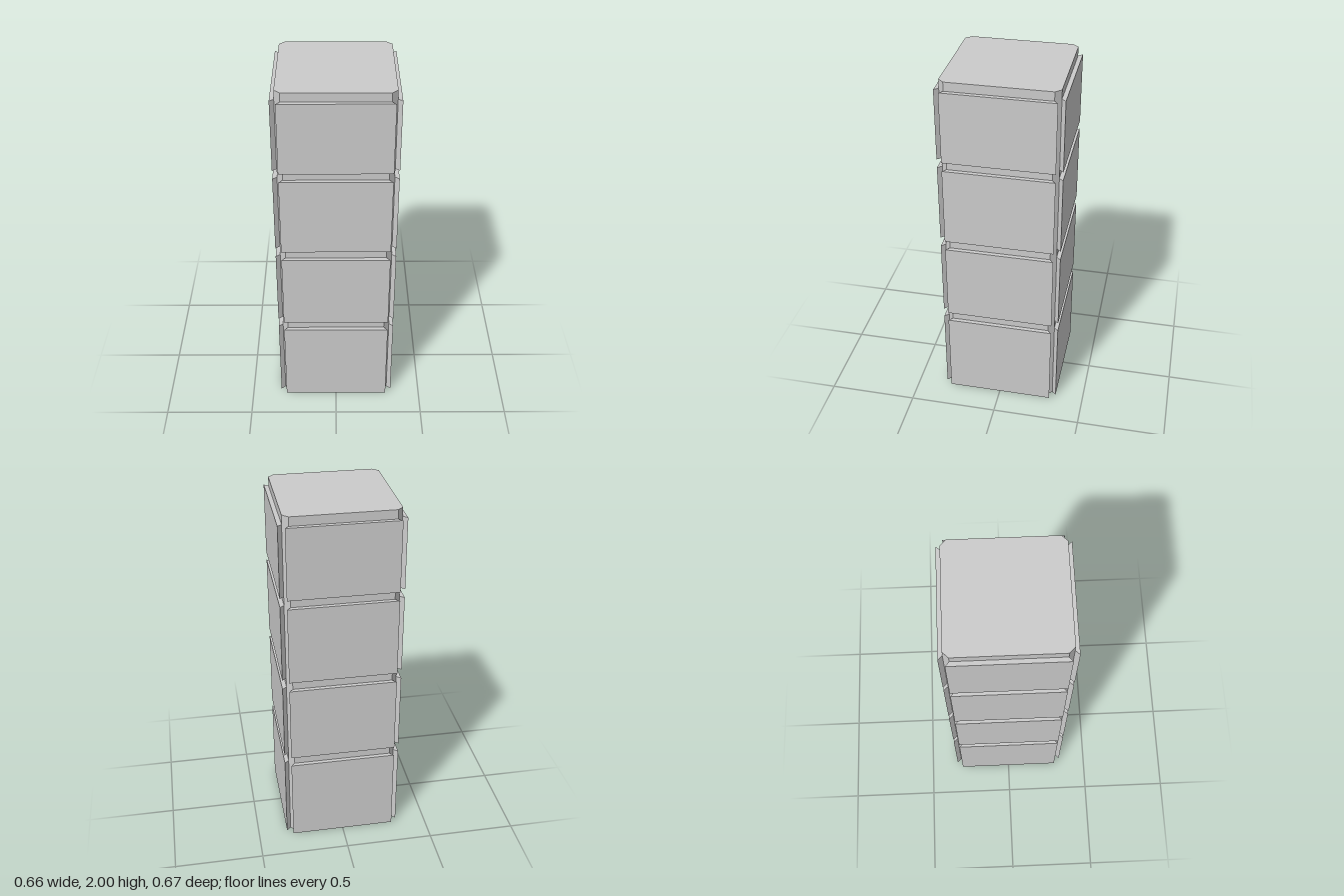
import * as THREE from 'three';

const material = new THREE.MeshStandardMaterial({
  color: 0xcccccc, flatShading: true, side: THREE.DoubleSide,
});

// One corner in plan (x, z): side panel end, chamfered post, front panel end
const panelCorner = [[0.332, 0.303], [0.308, 0.282], [0.277, 0.3135], [0.299, 0.337]];
const coreCorner = [panelCorner[1], panelCorner[1], panelCorner[2], panelCorner[2]];

// Mirror a corner into all four quadrants, in order round the column
function outline(corner) {
  return [[1, 1], [-1, 1], [-1, -1], [1, -1]].flatMap(([sx, sz]) => {
    const pts = corner.map(([x, z]) => [x * sx, z * sz]);
    return sx * sz > 0 ? pts : pts.reverse();
  });
}
const PANEL = outline(panelCorner);
const CORE = outline(coreCorner);

// Join a stack of [outline, height] rings with flat faces
function loft(name, rings) {
  const positions = [];
  const triangle = (a, b, c) => {
    const area = new THREE.Triangle(a, b, c).getArea();
    if (area > 1e-8) for (const p of [a, b, c]) positions.push(p.x, p.y, p.z);
  };
  const point = ([pts, y], i) => {
    const [x, z] = pts[i % pts.length];
    return new THREE.Vector3(x, y, z);
  };
  for (let r = 0; r < rings.length - 1; r++) {
    for (let i = 0; i < CORE.length; i++) {
      const a = point(rings[r], i), b = point(rings[r + 1], i);
      const c = point(rings[r + 1], i + 1), d = point(rings[r], i + 1);
      triangle(a, b, c);
      triangle(a, c, d);
    }
  }
  const geometry = new THREE.BufferGeometry();
  geometry.setAttribute('position', new THREE.Float32BufferAttribute(positions, 3));
  geometry.computeVertexNormals();
  const mesh = new THREE.Mesh(geometry, material);
  mesh.name = name;
  return mesh;
}

export function createModel() {
  const column = new THREE.Group();
  column.name = 'panelledColumn';

  // Four tiers: raised panels with ledges, then a recessed neck
  const tiers = [[0, 0.5, 0.555], [0.555, 1, 1.055], [1.055, 1.5, 1.55], [1.55, 1.95, 2]];
  tiers.forEach(([bottom, top, next], i) => {
    const tier = new THREE.Group();
    tier.name = `tier${i + 1}`;
    const rings = [[PANEL, bottom], [PANEL, top], [CORE, top]];
    if (i > 0) rings.unshift([CORE, bottom]); // the foot stays open
    tier.add(loft('panelBand', rings), loft('recessedNeck', [[CORE, top], [CORE, next]]));
    column.add(tier);
  });

  // Chamfered top
  const shape = new THREE.Shape(
    CORE.filter((_, i) => i % 2 === 0).map(([x, z]) => new THREE.Vector2(x, -z)));
  const cap = new THREE.Mesh(new THREE.ShapeGeometry(shape), material);
  cap.name = 'topCap';
  cap.rotation.x = -Math.PI / 2;
  cap.position.y = 2;
  column.add(cap);

  return column;
}
